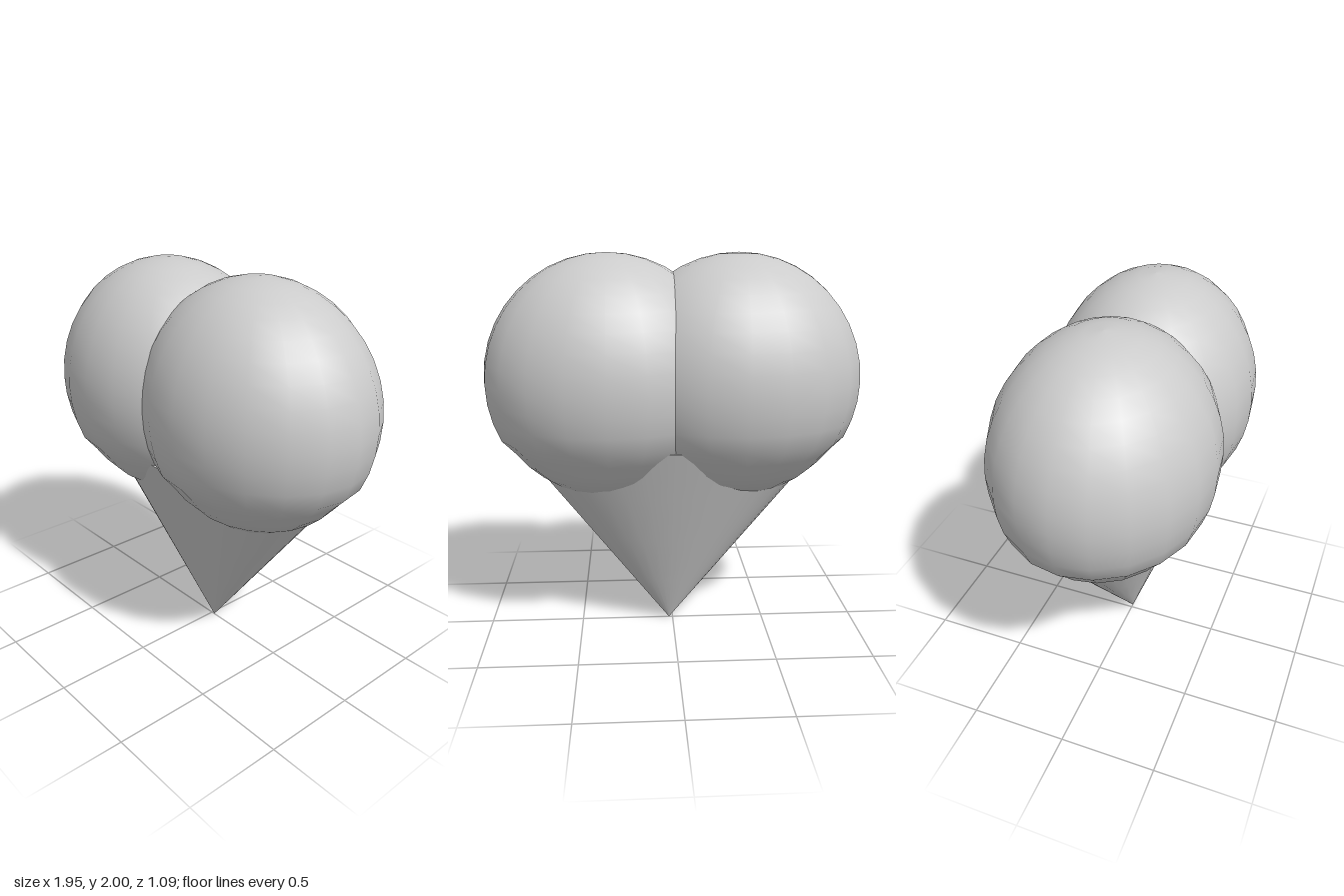
import * as THREE from 'three';

const material = new THREE.MeshStandardMaterial({ color: 0xcccccc });

// Rounded lobe: an ellipsoid whose underside tucks in slightly
function makeLobe(name, x, depth) {
  const radius = 0.64;
  const points = [];
  const rings = 20;
  for (let i = 0; i <= rings; i++) {
    const a = -Math.PI / 2 + (i / rings) * Math.PI;
    const tuck = a < -0.5 ? 0.965 : 1;
    points.push(new THREE.Vector2(
      Math.max(0, Math.cos(a)) * radius * tuck,
      Math.sin(a) * radius * tuck
    ));
  }
  const lobe = new THREE.Mesh(new THREE.LatheGeometry(points, 20), material);
  lobe.name = name;
  lobe.scale.z = depth / radius;
  lobe.position.set(x, 1.36, 0);
  return lobe;
}

// Flattened cone narrowing to the bottom tip, which sits a little off centre
function makePoint() {
  const height = 1.05;
  const geometry = new THREE.ConeGeometry(1, height, 32, 4);
  geometry.rotateX(Math.PI);
  geometry.scale(0.835, 1, 0.388);
  geometry.translate(0, height / 2, 0);
  const pos = geometry.attributes.position;
  for (let i = 0; i < pos.count; i++) {
    pos.setX(i, pos.getX(i) + 0.02 * (1 - pos.getY(i) / height));
  }
  const point = new THREE.Mesh(geometry, material);
  point.name = 'lowerPoint';
  return point;
}

export function createModel() {
  const group = new THREE.Group();
  group.name = 'heart';
  group.add(
    makeLobe('leftLobe', 0.332, 0.535),
    makeLobe('rightLobe', -0.335, 0.547),
    makePoint()
  );
  return group;
}
